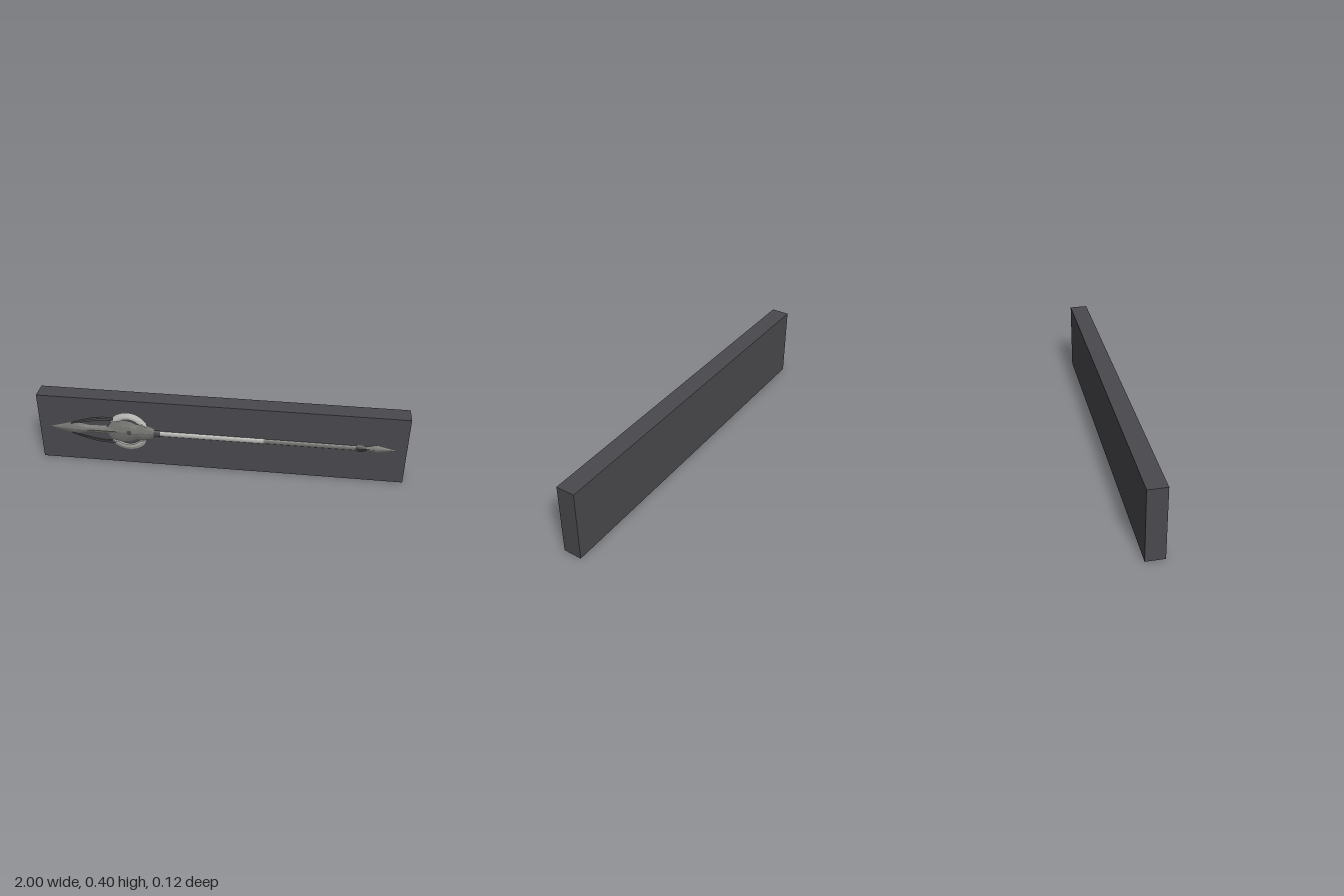
import * as THREE from 'three';

const mat = (name, color, flatShading = true) => {
  const m = new THREE.MeshStandardMaterial({ color, flatShading });
  m.name = name;
  return m;
};
const FACE = 0.042; // front of the board
const CY = 0.205;   // spear axis height

// Skin a grid of points; rows run along +x, points in a row run along +y
function skin(rows) {
  const n = rows[0].length, idx = [];
  for (let i = 0; i < rows.length - 1; i++) {
    for (let j = 0; j < n - 1; j++) {
      const a = i * n + j, b = a + n;
      idx.push(a, b, b + 1, a, b + 1, a + 1);
    }
  }
  const g = new THREE.BufferGeometry();
  g.setAttribute('position', new THREE.Float32BufferAttribute(rows.flat(2), 3));
  g.setIndex(idx);
  g.computeVertexNormals();
  return g;
}

// Symmetric raised relief from stations [x, half width, height, shoulder fraction]
const ridge = (stations) => skin(stations.map(([x, w, h, f = 0.5]) =>
  [[-w, 0], [-w * f, h * 0.65], [0, h], [w * f, h * 0.65], [w, 0]]
    .map(([y, z]) => [x, CY + y, FACE + z])));

// Half-round rod lying along x
const rod = (x0, x1, r, h) => skin([[x0, 0], [x0, 1], [x1, 1], [x1, 0]].map(([x, k]) =>
  Array.from({ length: 9 }, (_, i) => {
    const a = Math.PI * (1 - i / 8);
    return [x, CY + r * k * Math.cos(a), FACE + h * k * Math.sin(a)];
  })));

export function createModel() {
  const model = new THREE.Group();
  const slate = mat('slate', 0x4a494d);
  const steel = mat('steel', 0x757572);
  const silver = mat('silver', 0xb4b4b0);
  const dark = mat('dark metal', 0x48484a);
  const add = (name, geo, m) => {
    const mesh = new THREE.Mesh(geo, m);
    mesh.name = name;
    model.add(mesh);
    return mesh;
  };

  add('board', new THREE.BoxGeometry(2, 0.4, 0.1), slate).position.set(0, 0.2, -0.008);

  // Long pointed blade and faceted hub
  add('blade', ridge([
    [-0.94, 0, 0], [-0.81, 0.038, 0.012], [-0.78, 0.036, 0.013],
    [-0.72, 0.025, 0.013], [-0.56, 0.028, 0.013], [-0.52, 0, 0],
  ]), steel);
  add('hub', ridge([
    [-0.63, 0.012, 0.008], [-0.59, 0.06, 0.011, 0.4], [-0.54, 0.07, 0.014, 0.5],
    [-0.49, 0.062, 0.016, 0.5], [-0.455, 0.045, 0.014, 0.5],
    [-0.42, 0.055, 0.012, 0.5], [-0.37, 0.033, 0.01], [-0.34, 0.012, 0.008],
  ]), steel);
  const gem = add('hubGem', new THREE.SphereGeometry(0.018, 8, 6), dark);
  gem.position.set(-0.495, CY, FACE + 0.0125);
  gem.scale.set(1.1, 0.8, 0.2);

  for (const s of [1, -1]) {
    const side = s > 0 ? 'upper' : 'lower';
    const order = (row) => (s > 0 ? row : row.reverse());

    // Crescent guard, highest on its inner edge
    const arc = [];
    for (let i = 0; i <= 16; i++) {
      const t = i / 16, a = THREE.MathUtils.degToRad(147 - t * 125);
      const taper = Math.min(1, 0.35 + 4 * Math.min(t, 1 - t));
      const inner = 0.117 - 0.037 * taper;
      arc.push(order([[inner, 0], [inner + 0.002, 0.011], [inner + 0.45 * (0.117 - inner), 0.01], [0.117, 0]]
        .map(([r, z]) => [-0.503 + r * Math.cos(a), CY + s * r * Math.sin(a), FACE + z])));
    }
    add(side + 'Crescent', skin(arc), silver);

    // Slim curved wing from the blade to the guard: [x, inner y, outer y]
    add(side + 'Wing', skin([
      [-0.82, 0.03, 0.034], [-0.76, 0.042, 0.056], [-0.7, 0.056, 0.073],
      [-0.64, 0.064, 0.082], [-0.58, 0.064, 0.082],
    ].map(([x, a, b]) => order([[a, 0], [a, 0.008], [b - 0.004, 0.007], [b, 0]]
      .map(([y, z]) => [x, CY + s * y, FACE + z])))), dark);
  }

  // Shaft: collar, bright grip, darker rear length and binding rings
  add('frontCollar', rod(-0.36, -0.325, 0.019, 0.012), dark);
  add('grip', rod(-0.325, 0.24, 0.015, 0.009), silver);
  add('rearShaft', rod(0.24, 0.74, 0.014, 0.008), steel);
  for (const x of [-0.14, 0.16, 0.235]) add('gripRing', rod(x - 0.005, x + 0.005, 0.016, 0.01), silver);
  add('rearCollar', ridge([
    [0.72, 0.01, 0.006], [0.735, 0.021, 0.01], [0.77, 0.019, 0.01], [0.79, 0.01, 0.007],
  ]), dark);

  // Spike at the butt end
  add('buttSpike', ridge([
    [0.77, 0.008, 0.006], [0.84, 0.024, 0.01], [0.94, 0, 0],
  ]), steel);
  return model;
}
